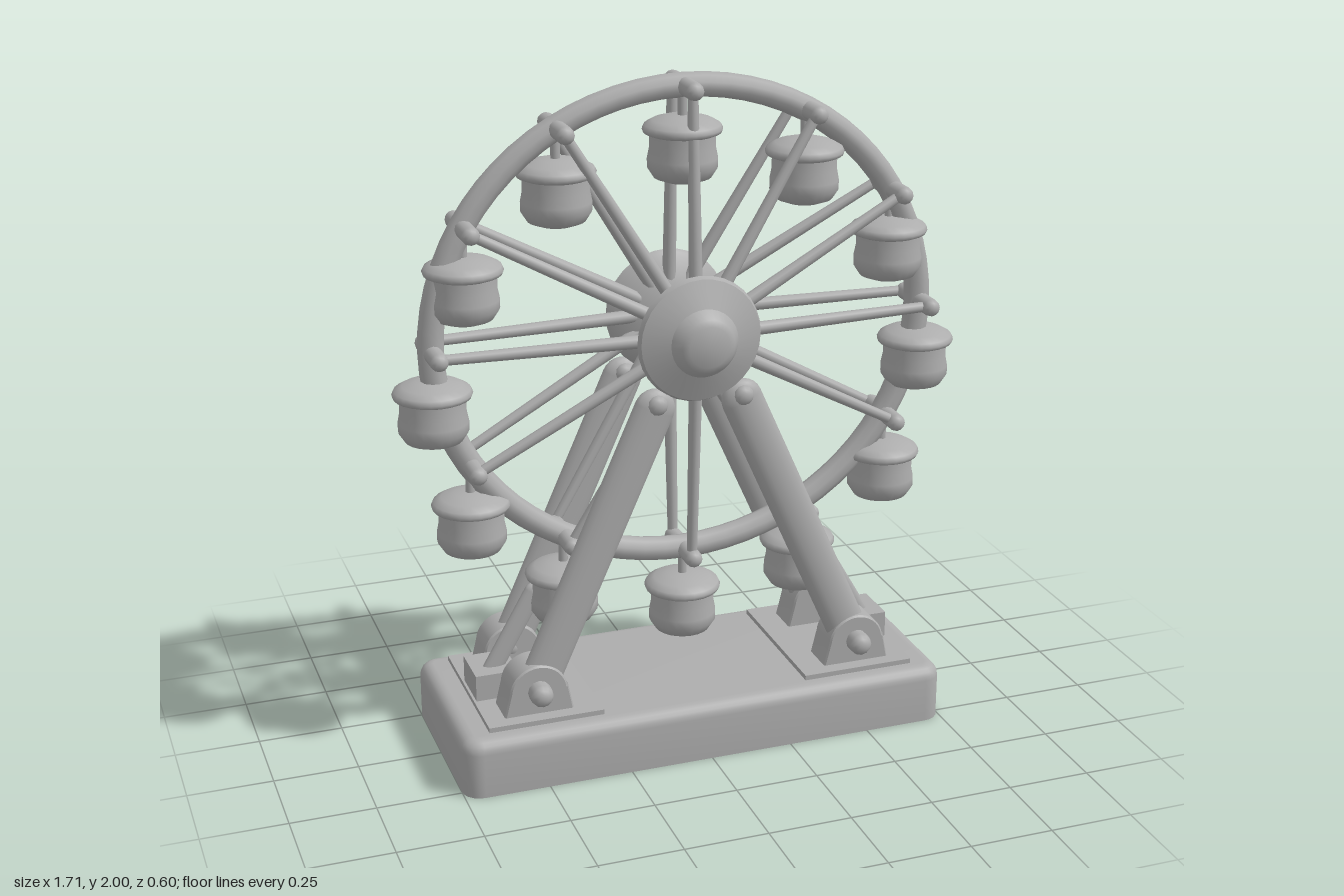
import * as THREE from 'three';
import { toCreasedNormals } from 'three/addons/utils/BufferGeometryUtils.js';

const grey = new THREE.MeshStandardMaterial({ color: 0xadadad });
grey.name = 'plain grey';

const CY = 1.27, CZ = 0.03; // wheel centre
const RX = 0.74, SQUASH = 0.94;

function add(parent, name, geo, x = 0, y = 0, z = 0) {
  const m = new THREE.Mesh(geo, grey);
  m.name = name;
  m.position.set(x, y, z);
  parent.add(m);
  return m;
}

// Round bar between two points, optionally flattened in z
function bar(parent, name, a, b, r, flat = 1, r2 = r) {
  const d = new THREE.Vector3().subVectors(b, a);
  const geo = flat === 1
    ? new THREE.CylinderGeometry(r2, r, d.length(), 10)
    : new THREE.CapsuleGeometry(r, d.length() - r, 6, 16).scale(1, 1, flat);
  const m = add(parent, name, geo);
  m.position.copy(a).add(b).multiplyScalar(0.5);
  m.quaternion.setFromUnitVectors(new THREE.Vector3(0, 1, 0), d.normalize());
  return m;
}

// Domed pin lying along z
function pin(parent, name, x, y, z0, z1, r) {
  const geo = new THREE.CapsuleGeometry(r, z1 - z0 - r, 4, 12).scale(1, (z1 - z0) / (z1 - z0 + r), 1);
  geo.rotateX(Math.PI / 2);
  return add(parent, name, geo, x, y, (z0 + z1) / 2);
}

const profile = pts => pts.map(p => new THREE.Vector2(p[0], p[1]));

// Base slab: rounded top edges, sharp flat bottom
function baseGeometry() {
  const w = 0.71, d = 0.26, r = 0.02, b = 0.04;
  const s = new THREE.Shape();
  s.moveTo(-w + r, -d);
  s.lineTo(w - r, -d); s.quadraticCurveTo(w, -d, w, -d + r);
  s.lineTo(w, d - r); s.quadraticCurveTo(w, d, w - r, d);
  s.lineTo(-w + r, d); s.quadraticCurveTo(-w, d, -w, d - r);
  s.lineTo(-w, -d + r); s.quadraticCurveTo(-w, -d, -w + r, -d);
  const geo = new THREE.ExtrudeGeometry(s, {
    depth: 0.135, bevelThickness: b, bevelSize: b, bevelSegments: 5, curveSegments: 5,
  });
  geo.rotateX(-Math.PI / 2);
  const p = geo.attributes.position;
  for (let i = 0; i < p.count; i++) p.setY(i, Math.max(0, p.getY(i)));
  return toCreasedNormals(geo, 0.7);
}

// Round-topped foot bracket
function bracketGeometry() {
  const s = new THREE.Shape();
  s.moveTo(-0.1, 0);
  s.lineTo(0.1, 0);
  s.lineTo(0.085, 0.075);
  s.absarc(0, 0.065, 0.082, 0.1, Math.PI - 0.1, false);
  s.lineTo(-0.1, 0);
  const geo = new THREE.ExtrudeGeometry(s, {
    depth: 0.1, bevelThickness: 0.005, bevelSize: 0.005, bevelSegments: 1, curveSegments: 12,
  });
  return toCreasedNormals(geo.translate(0, 0, -0.05), 0.6);
}

export function createModel() {
  const model = new THREE.Group();
  model.name = 'ferrisWheel';

  add(model, 'base', baseGeometry());

  // Supports on both ends of the base
  const bracket = bracketGeometry();
  for (const sx of [1, -1]) {
    const side = sx > 0 ? 'left' : 'right';
    const V = (x, y, z) => new THREE.Vector3(sx * x, y, z);
    add(model, side + 'BasePlate', new THREE.BoxGeometry(0.345, 0.02, 0.49), sx * 0.49, 0.18, 0);
    add(model, side + 'CentreFoot', new THREE.BoxGeometry(0.13, 0.09, 0.145), sx * 0.59, 0.225, 0);
    bar(model, side + 'CentreBrace', V(0.6, 0.24, 0.012), V(0.45, 0.5, 0.012), 0.03, 0.55);
    for (const f of [1, -1]) {
      const name = side + (f > 0 ? 'Front' : 'Back');
      const legZ = 0.018 + f * 0.148;
      bar(model, name + 'Leg', V(0.5, 0.25, legZ), V(0.12, 1.1, legZ), 0.062, 0.52);
      pin(model, name + 'LegPin', sx * 0.13, 1.09, legZ - 0.045, legZ + 0.045, 0.03);
      add(model, name + 'Bracket', bracket, sx * 0.5, 0.188, 0.005 + f * 0.143);
      pin(model, name + 'FootPin', sx * 0.5, 0.26, 0.01 + f * 0.17 - 0.08, 0.01 + f * 0.17 + 0.08, 0.034);
    }
  }

  // Wheel ring, slightly flattened
  const wheel = new THREE.Group();
  wheel.name = 'wheel';
  wheel.position.set(0, CY, CZ);
  model.add(wheel);
  add(wheel, 'ring', new THREE.TorusGeometry(RX, 0.038, 10, 72).scale(1, SQUASH, 1));

  // Hubs: wide rim, cone and blunt cap on each side, joined by an axle
  const hubGeo = toCreasedNormals(new THREE.LatheGeometry(profile([
    [0, 0.085], [0.085, 0.085], [0.178, 0.135], [0.185, 0.145], [0.178, 0.16],
    [0.1, 0.19], [0.078, 0.222], [0.06, 0.231], [0, 0.234],
  ]), 32), 0.6);
  for (const f of [1, -1]) {
    const hub = add(wheel, f > 0 ? 'frontHub' : 'backHub', hubGeo);
    hub.rotation.x = f * Math.PI / 2;
  }
  add(wheel, 'axle', new THREE.CylinderGeometry(0.04, 0.04, 0.2, 16).rotateX(Math.PI / 2));

  // Cabin profiles, measured down from the hanging pin
  const bodyGeo = new THREE.LatheGeometry(profile([
    [0, -0.274], [0.05, -0.272], [0.082, -0.26], [0.1, -0.232],
    [0.1, -0.205], [0.094, -0.175], [0.094, -0.13],
  ]), 24);
  const lidGeo = toCreasedNormals(new THREE.LatheGeometry(profile([
    [0, -0.138], [0.095, -0.138], [0.11, -0.132], [0.114, -0.122], [0.108, -0.11],
    [0.085, -0.097], [0.045, -0.086], [0, -0.083],
  ]), 24), 0.9);

  // Twelve pins, each with a cabin and a pair of spokes
  for (let i = 0; i < 12; i++) {
    const a = i * Math.PI / 6;
    const c = Math.cos(a), s = Math.sin(a) * SQUASH;
    const x = c * RX, y = s * RX;
    pin(wheel, 'cabinPin', x, y, -0.105, 0.125, 0.026);
    for (const f of [1, -1]) {
      bar(wheel, 'spoke', new THREE.Vector3(c * 0.1, s * 0.1, f * 0.115),
        new THREE.Vector3(x, y, f * 0.085), 0.02, 1, 0.015);
    }
    const cabin = new THREE.Group();
    cabin.name = 'cabin';
    cabin.position.set(x, y, 0);
    wheel.add(cabin);
    add(cabin, 'cabinBody', bodyGeo);
    add(cabin, 'cabinLid', lidGeo);
    add(cabin, 'cabinHanger', new THREE.CylinderGeometry(0.014, 0.014, 0.1, 8), 0, -0.05, 0);
  }
  return model;
}
